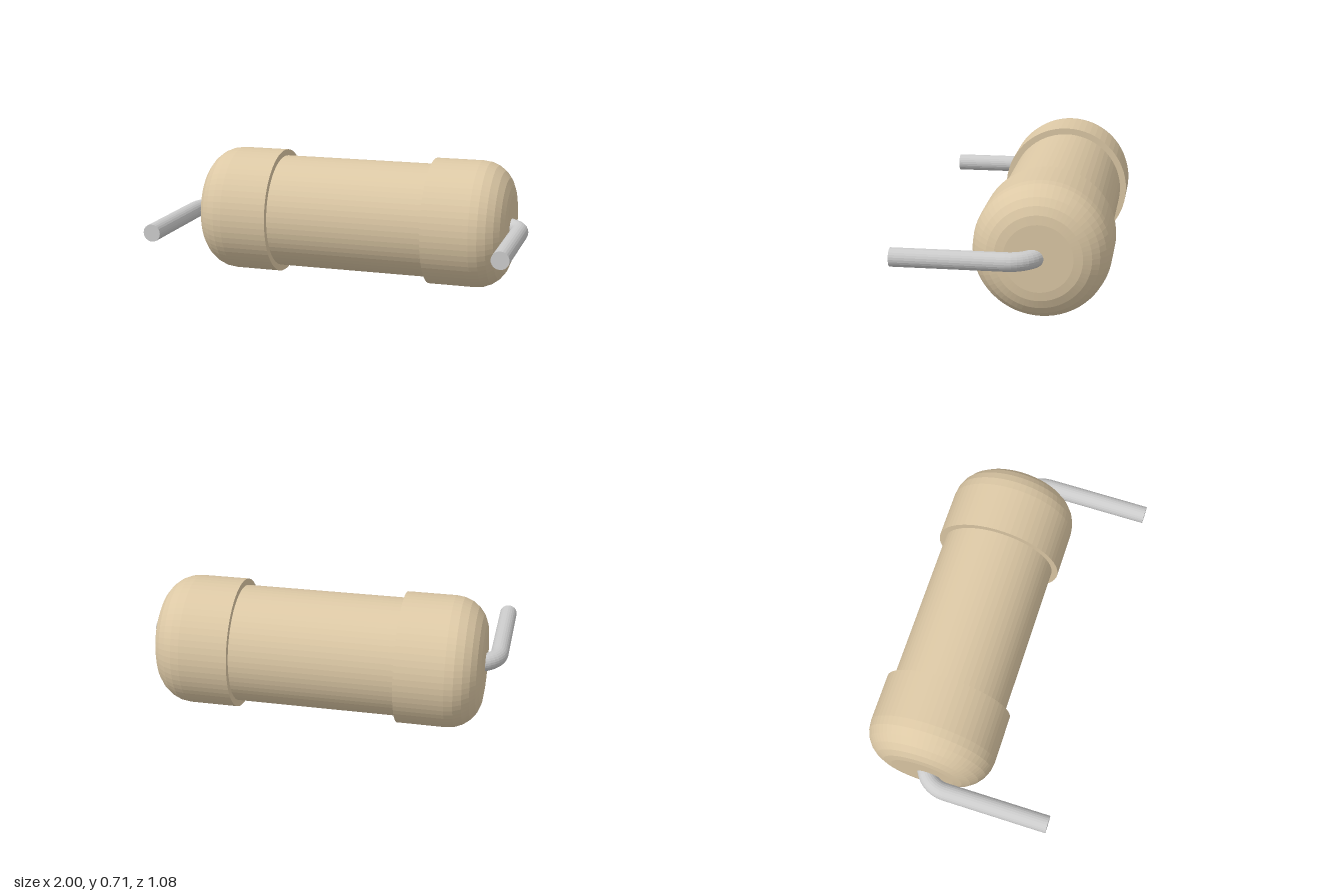
import * as THREE from 'three';

const BODY_Z = -0.187, CAP_R = 0.355, CORE_R = 0.32;
const WIRE_R = 0.048, BEND_R = 0.15, WIRE_X = 0.952, FRONT_Z = 0.541;

const tan = new THREE.MeshStandardMaterial({ color: 0xdcc8a5, flatShading: true });
const metal = new THREE.MeshStandardMaterial({ color: 0xcccccc, flatShading: true });

function part(name, geometry, material) {
  const mesh = new THREE.Mesh(geometry, material);
  mesh.name = name;
  return mesh;
}

// Cap with a rounded outer edge, turned about the x axis
function capGeometry() {
  const inner = 0.445, outer = 0.89, fillet = 0.18, steps = 6;
  const points = [new THREE.Vector2(CORE_R - 0.02, inner), new THREE.Vector2(CAP_R, inner)];
  for (let i = 0; i <= steps; i++) {
    const a = (i / steps) * Math.PI / 2;
    points.push(new THREE.Vector2(
      CAP_R - fillet + fillet * Math.cos(a),
      outer - fillet + fillet * Math.sin(a)));
  }
  points.push(new THREE.Vector2(0, outer));
  return new THREE.LatheGeometry(points, 64).rotateZ(-Math.PI / 2);
}

// Cap, wire bend and straight wire of the +x end
function createEnd(name) {
  const end = new THREE.Group();
  end.name = name;

  const cap = part('endCap', capGeometry(), tan);
  cap.position.z = BODY_Z;

  const bendZ = BODY_Z + BEND_R;
  const bend = part('wireBend',
    new THREE.TorusGeometry(BEND_R, WIRE_R, 24, 10, Math.PI / 2).rotateX(-Math.PI / 2), metal);
  bend.position.set(WIRE_X - BEND_R, 0, bendZ);

  const length = FRONT_Z - bendZ;
  const wire = part('straightWire',
    new THREE.CylinderGeometry(WIRE_R, WIRE_R, length, 24).rotateX(Math.PI / 2), metal);
  wire.position.set(WIRE_X, 0, bendZ + length / 2);

  end.add(cap, bend, wire);
  return end;
}

export function createModel() {
  const model = new THREE.Group();
  model.name = 'axialComponent';

  // Middle of the body
  const core = part('coreBarrel',
    new THREE.CylinderGeometry(CORE_R, CORE_R, 1.0, 64).rotateZ(Math.PI / 2), tan);
  core.position.set(0, CAP_R, BODY_Z);
  model.add(core);

  // Two matching ends; a half turn about z swaps the sides
  ['leftEnd', 'rightEnd'].forEach((name, i) => {
    const end = createEnd(name);
    end.position.y = CAP_R;
    end.rotation.z = i * Math.PI;
    model.add(end);
  });

  return model;
}
